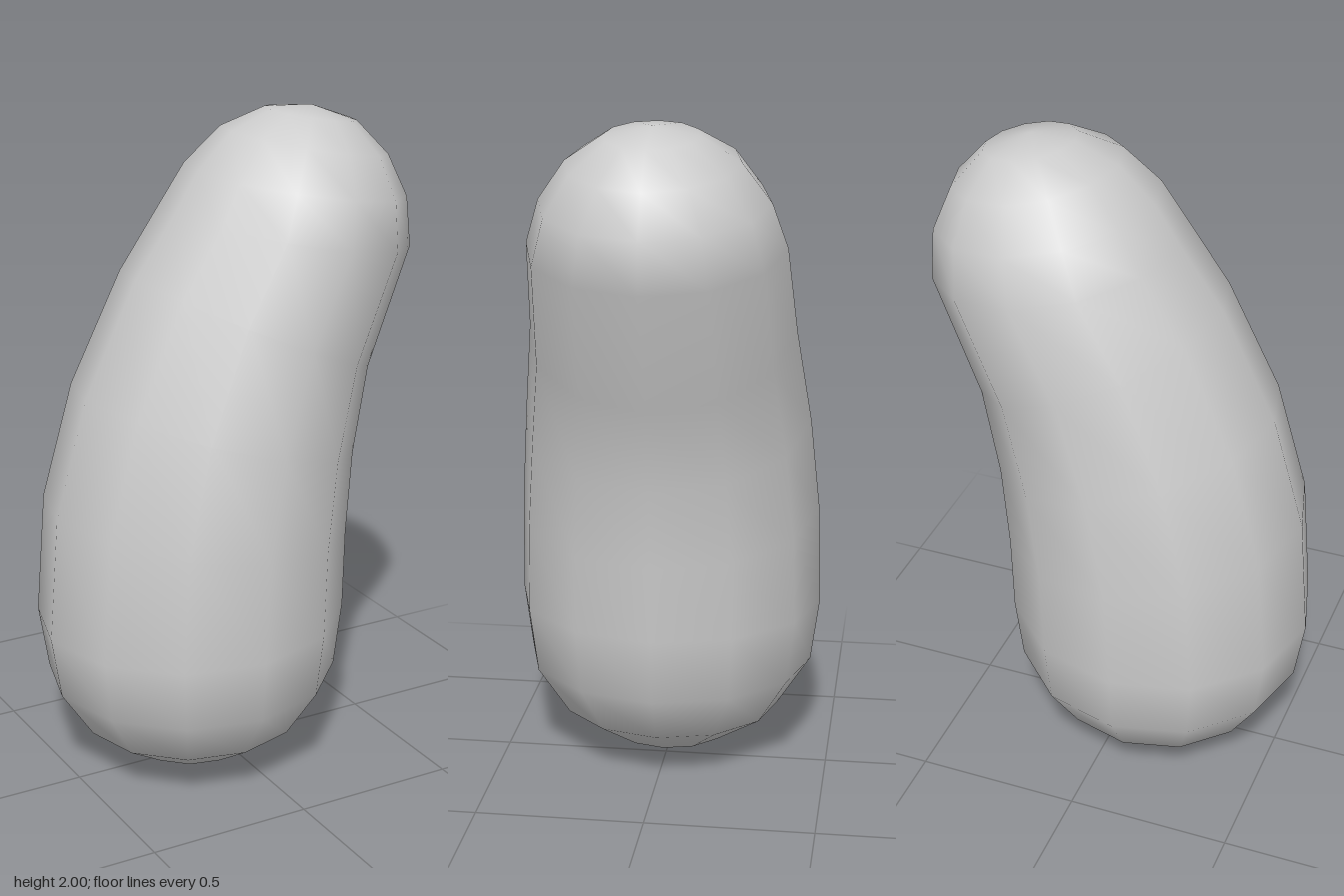
import * as THREE from 'three';

const SIDES = 12;

// Each ring of the bent capsule: its -x edge point and its +x edge point, [xl, yl, xr, yr]
const RINGS = [
  [-0.29, 0.04, 0.07, 0.045],
  [-0.45, 0.14, 0.23, 0.15],
  [-0.55, 0.29, 0.33, 0.305],
  [-0.58, 0.48, 0.353, 0.505],
  [-0.55, 0.86, 0.36, 0.73],
  [-0.45, 1.21, 0.383, 0.97],
  [-0.285, 1.545, 0.435, 1.22],
  [-0.155, 1.725, 0.58, 1.58],
  [-0.08, 1.84, 0.573, 1.727],
  [0.03, 1.945, 0.52, 1.85],
  [0.16, 1.997, 0.43, 1.95],
];
const BOTTOM = [-0.11, 0.002, 0];
const TOP = [0.296, 2, 0];

// Closed smooth skin over tilted circular rings with a pole at each end
function bentCapsule() {
  const pos = [...BOTTOM];
  const index = [];
  for (const [xl, yl, xr, yr] of RINGS) {
    const cx = (xl + xr) / 2, cy = (yl + yr) / 2;
    const dx = (xr - xl) / 2, dy = (yr - yl) / 2;
    const r = Math.hypot(dx, dy);
    for (let i = 0; i < SIDES; i++) {
      const a = (i / SIDES) * Math.PI * 2;
      pos.push(cx + dx * Math.cos(a), cy + dy * Math.cos(a), r * Math.sin(a));
    }
  }
  pos.push(...TOP);

  const last = RINGS.length - 1;
  const topIndex = 1 + RINGS.length * SIDES;
  const at = (ring, i) => 1 + ring * SIDES + (i % SIDES);
  for (let i = 0; i < SIDES; i++) {
    index.push(0, at(0, i), at(0, i + 1));
    for (let k = 0; k < last; k++) {
      index.push(at(k, i), at(k + 1, i), at(k + 1, i + 1));
      index.push(at(k, i), at(k + 1, i + 1), at(k, i + 1));
    }
    index.push(at(last, i), topIndex, at(last, i + 1));
  }

  const geometry = new THREE.BufferGeometry();
  geometry.setAttribute('position', new THREE.Float32BufferAttribute(pos, 3));
  geometry.setIndex(index);
  geometry.computeVertexNormals();
  return geometry;
}

export function createModel() {
  const model = new THREE.Group();
  const material = new THREE.MeshStandardMaterial({ color: 0xcccccc });
  const body = new THREE.Mesh(bentCapsule(), material);
  body.name = 'bentBody';
  model.add(body);
  return model;
}
